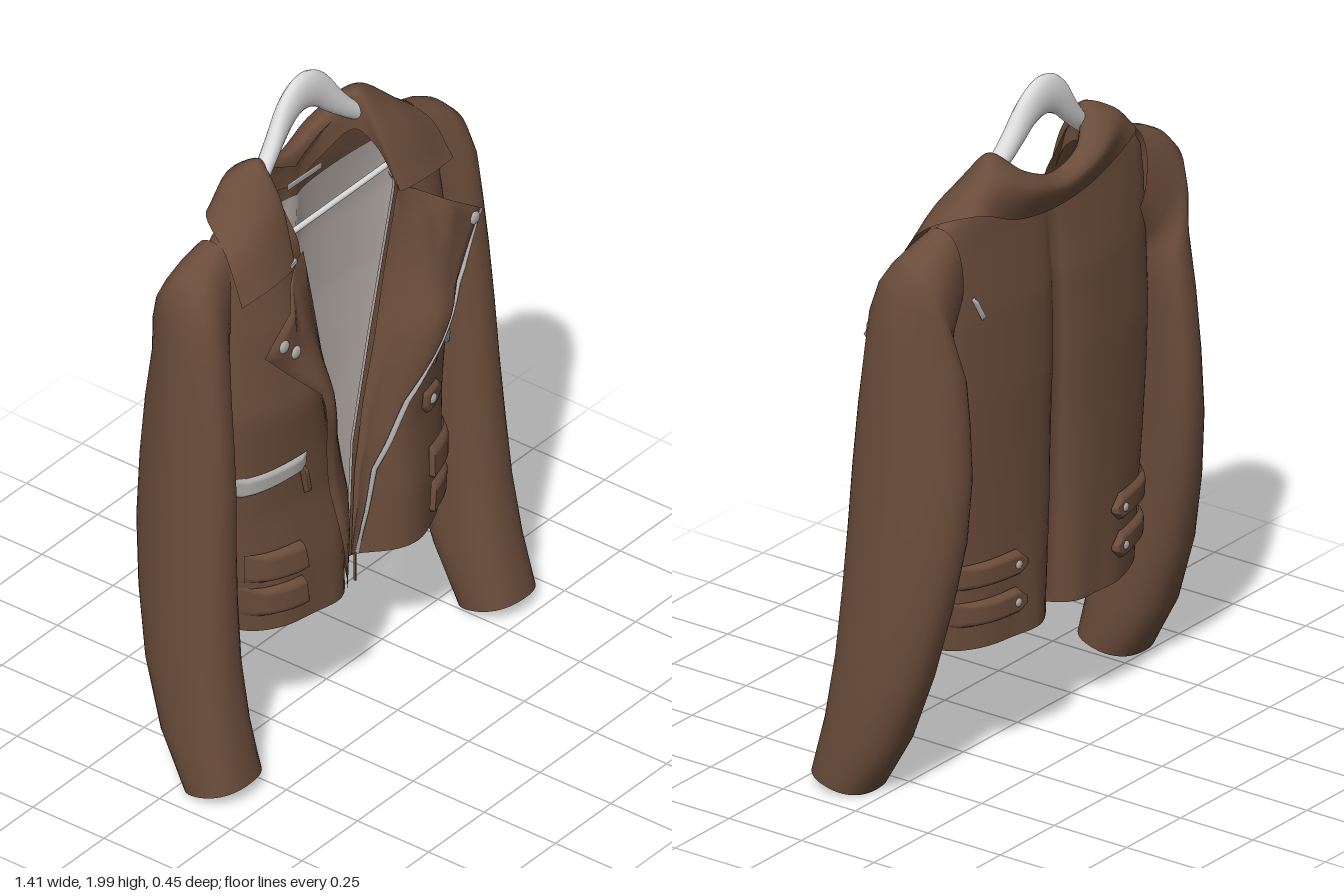
import * as THREE from 'three';
import { mergeVertices } from 'three/addons/utils/BufferGeometryUtils.js';

const mat = (name, color) => {
  const m = new THREE.MeshStandardMaterial({ color, side: THREE.DoubleSide });
  m.name = name;
  return m;
};
const V = (x, y, z) => new THREE.Vector3(x, y, z);
const clamp01 = (v) => THREE.MathUtils.clamp(v, 0, 1);

// Piecewise linear lookup in rows [key, value, value...]
function table(rows, y, k = 1) {
  let i = 0;
  while (i < rows.length - 2 && y > rows[i + 1][0]) i++;
  const a = rows[i], b = rows[i + 1];
  return a[k] + (b[k] - a[k]) * clamp01((y - a[0]) / (b[0] - a[0]));
}

// Surface through a grid of points
function surface(rows) {
  const n = rows[0].length, index = [];
  for (let i = 0; i < rows.length - 1; i++)
    for (let j = 0; j < n - 1; j++) {
      const a = i * n + j, b = a + n;
      index.push(a, a + 1, b, b, a + 1, b + 1);
    }
  let g = new THREE.BufferGeometry().setFromPoints(rows.flat());
  g.setIndex(index);
  g = mergeVertices(g, 1e-5);
  g.computeVertexNormals();
  return g;
}

// Body levels: y, half width, side z, front z, back z
const BODY = [
  [0.4, 0.435, -0.02, 0.16, -0.18], [0.6, 0.455, -0.02, 0.158, -0.178], [0.8, 0.48, -0.025, 0.137, -0.175],
  [0.97, 0.495, -0.03, 0.145, -0.172], [1.15, 0.505, -0.03, 0.165, -0.172], [1.4, 0.5, -0.03, 0.122, -0.16],
  [1.53, 0.5, -0.035, 0.08, -0.14], [1.62, 0.49, -0.04, 0.04, -0.125], [1.68, 0.44, -0.045, 0.015, -0.12],
  [1.74, 0.32, -0.05, -0.005, -0.11], [1.79, 0.23, -0.05, -0.03, -0.09],
];
// Front opening edges
const EDGE_R = [[0.41, 0.025], [0.72, 0.02], [1.08, -0.07], [1.55, -0.175], [1.8, -0.22]];
const EDGE_L = [[0.41, 0.04], [0.79, 0.06], [1.13, 0.14], [1.55, 0.25], [1.8, 0.22]];

function bulge(x, y, k) {
  const w = table(BODY, y, 1), c = table(BODY, y, 2), q = Math.min(1, Math.abs(x) / w);
  const ripple = 0.008 * Math.sin(x * 32) * clamp01((0.75 - y) / 0.3) * (1 - q);
  return c + (table(BODY, y, k) - c) * (1 - q ** 2.6) ** (1 / 2.6) + ripple;
}
function edgeGap(x, y) {
  const r = table(EDGE_R, y), l = table(EDGE_L, y);
  return Math.max(0, x > (r + l) / 2 ? x - l : r - x);
}
function frontZ(x, y) {
  const z = bulge(x, y, 3);
  return z + (Math.min(0.045, z) - z) * Math.exp(-((edgeGap(x, y) / 0.09) ** 2));
}
// The back folds inward along its centre seam, deepest at the hem
const SEAM = [[0.4, 0.1], [1, 0.06], [1.5, 0.03], [1.65, 0.01]];
const backZ = (x, y) => bulge(x, y, 4) + table(SEAM, y) * Math.exp(-Math.abs(x) / 0.05);
function lapelZ(x, y) {
  const gap = edgeGap(x, y), puff = 0.028 * Math.exp(-(((y - 1.1) / 0.17) ** 2));
  return Math.max(frontZ(x, y), 0.115 * Math.min(1, gap * 6)) + 0.006 + puff * Math.min(1, gap * 8);
}

// Padded plate lying on a surface, between two matched polylines of [x, y]
function patch(A, B, zAt, lift = 0.012, dir = 1, nu = 12, per = 8) {
  const rows = [], N = (A.length - 1) * per;
  for (let i = 0; i <= N; i++) {
    const s = Math.min(A.length - 2, Math.floor(i / per)), t = i / per - s, row = [];
    const at = (P, k) => P[s][k] + (P[s + 1][k] - P[s][k]) * t;
    for (let j = 0; j <= nu; j++) {
      const u = j / nu;
      const x = at(A, 0) * (1 - u) + at(B, 0) * u, y = at(A, 1) * (1 - u) + at(B, 1) * u;
      const edge = Math.min(1, 8 * Math.min(u, 1 - u, i / N, 1 - i / N));
      row.push(V(x, y, zAt(x, y) + dir * lift * (0.25 + 0.75 * edge)));
    }
    rows.push(row);
  }
  return surface(rows);
}

export function createModel() {
  const group = new THREE.Group();
  const leather = mat('brown leather', 0x6a4c3a), lining = mat('grey lining', 0xb9b0ab);
  const metal = mat('zip metal', 0xaaa8a6), white = mat('hanger white', 0xdedede);
  const add = (name, geo, m) => {
    const mesh = new THREE.Mesh(geo, m);
    mesh.name = name;
    group.add(mesh);
    return mesh;
  };
  const levels = (low, top) => Array.from({ length: 49 }, (_, i) => low + ((top - low) * i) / 48);

  // Body shell and its lining; the back hangs a little lower than the fronts
  function back(top, inset) {
    return surface(levels(0.402, top).map((y) => Array.from({ length: 65 }, (_, j) => {
      const x = (table(BODY, y) - inset) * Math.sin((j / 64 - 0.5) * Math.PI);
      const yy = Math.min(y, 1.68 + Math.abs(x) * 0.5);
      return V(x, yy, backZ(x, yy) + inset);
    })));
  }
  function front(side, top, inset) {
    return surface(levels(0.42, top).map((y) => Array.from({ length: 33 }, (_, j) => {
      const e = table(side > 0 ? EDGE_L : EDGE_R, y);
      const x = e + (side * (table(BODY, y) - inset) - e) * Math.sin((j / 64) * Math.PI);
      return V(x, y, frontZ(x, y) - inset);
    })));
  }
  add('backPanel', back(1.79, 0), leather);
  add('backLining', back(1.59, 0.008), lining);
  for (const s of [1, -1]) {
    add('frontPanel', front(s, 1.79, 0), leather);
    add('frontLining', front(s, 1.58, 0.008), lining);
  }

  // Sleeves: inner x, inner y, outer x, outer y, front z, back z, tilt
  const SLEEVE = [
    [0.41, 1.42, 0.44, 1.685, 0.01, -0.13, 0], [0.44, 1.38, 0.51, 1.66, 0.03, -0.145, 0],
    [0.46, 1.35, 0.565, 1.63, 0.05, -0.155, 0], [0.475, 1.32, 0.603, 1.59, 0.068, -0.165, 0],
    [0.485, 1.29, 0.627, 1.51, 0.082, -0.178, 0], [0.49, 1.22, 0.64, 1.38, 0.092, -0.193, 0],
    [0.495, 1.12, 0.652, 1.2, 0.107, -0.212, 0], [0.497, 0.98, 0.665, 1, 0.12, -0.224, 0],
    [0.497, 0.8, 0.677, 0.8, 0.13, -0.215, 0.02], [0.497, 0.6, 0.688, 0.6, 0.143, -0.18, 0.06],
    [0.493, 0.4, 0.697, 0.4, 0.16, -0.13, 0.12], [0.486, 0.2, 0.704, 0.2, 0.19, -0.055, 0.2],
    [0.482, 0.04, 0.706, 0.035, 0.23, 0.04, 0.25], [0.492, 0.055, 0.698, 0.05, 0.22, 0.05, 0.25],
    [0.5, 0.15, 0.69, 0.15, 0.19, -0.02, 0.22],
  ];
  const soft = (v) => Math.sign(v) * Math.abs(v) ** 0.85;
  for (const s of [1, -1]) {
    const rows = SLEEVE.map(([xi, yi, xo, yo, zf, zb, tilt]) => Array.from({ length: 37 }, (_, j) => {
      const a = ((j % 36) / 36) * Math.PI * 2, c = soft(Math.cos(a)), d = soft(Math.sin(a));
      const dz = ((zf - zb) / 2) * d, u = (1 + c) / 2;
      // the rear of the arm leans in behind the body
      const lean = 0.055 * clamp01((yo - 0.3) / 0.6) * clamp01((1.6 - yo) / 0.2) * Math.max(0, -d);
      const swing = s < 0 ? 0.035 * Math.max(0, 1 - yo) : 0;
      return V(s * (xi + (xo - xi) * u - lean), yi + (yo - yi) * u + dz * tilt, (zf + zb) / 2 + dz - swing);
    }));
    add(s > 0 ? 'leftSleeve' : 'rightSleeve', surface(rows), leather);
  }

  // Collar: stand, fold and falling leaf swept round the neck
  const STATIONS = [
    [V(0, 1.62, -0.115), V(0, 1.72, -0.125), V(0, 1.695, -0.175), V(0, 1.62, -0.145)],
    [V(0.12, 1.66, -0.105), V(0.13, 1.765, -0.12), V(0.16, 1.74, -0.18), V(0.19, 1.645, -0.145)],
    [V(0.2, 1.72, -0.06), V(0.215, 1.835, -0.06), V(0.3, 1.8, -0.115), V(0.37, 1.715, -0.135)],
    [V(0.22, 1.68, 0), V(0.22, 1.74, 0.01), V(0.33, 1.72, 0.015), V(0.45, 1.66, 0)],
    [V(0.24, 1.55, 0.065), V(0.235, 1.55, 0.075), V(0.34, 1.55, 0.092), V(0.475, 1.535, 0.075)],
  ];
  const round = [...STATIONS.slice(1).reverse().map((r) => r.map((p) => V(-p.x, p.y, p.z))), ...STATIONS];
  const strands = [0, 1, 2, 3].map((k) => new THREE.CatmullRomCurve3(round.map((r) => r[k])));
  add('collar', surface(Array.from({ length: 65 }, (_, i) =>
    new THREE.CatmullRomCurve3(strands.map((c) => c.getPoint(i / 64))).getPoints(15))), leather);

  // Lapels folded open
  add('rightLapel', patch([[-0.175, 1.56], [-0.13, 1.36], [-0.09, 1.17], [-0.03, 0.9], [0.025, 0.43]],
    [[-0.21, 1.55], [-0.44, 1.37], [-0.25, 1.17], [-0.19, 0.9], [-0.1, 0.43]], lapelZ, 0.018, 1, 20), leather);
  const zipLine = [[0.29, 1.53], [0.53, 1.36], [0.32, 1.09], [0.19, 0.9], [0.1, 0.7], [0.055, 0.43]];
  add('leftLapel', patch([[0.25, 1.55], [0.2, 1.36], [0.14, 1.1], [0.088, 0.9], [0.054, 0.7], [0.04, 0.43]],
    zipLine, lapelZ, 0.018, 1, 20), leather);

  // Zips and pulls
  const zip = zipLine.slice(1);
  add('frontZip', patch(zip, zip.map(([x, y]) => [x + 0.011, y - 0.008]), lapelZ, 0.012, 1, 4), metal);
  add('waistZip', patch([[-0.478, 0.948], [-0.26, 0.972]], [[-0.488, 0.882], [-0.262, 0.918]], frontZ, 0.016), metal);
  add('chestZip', patch([[0.33, 1.055], [0.425, 0.945]], [[0.352, 1.115], [0.475, 0.935]], frontZ, 0.016), metal);
  add('notchTag', patch([[-0.275, 1.57], [-0.225, 1.572]], [[-0.265, 1.555], [-0.225, 1.56]], frontZ, 0.03), metal);
  add('waistPull', patch([[-0.29, 0.93], [-0.265, 0.83]], [[-0.27, 0.93], [-0.248, 0.83]], frontZ, 0.022), leather);
  add('chestPull', patch([[0.315, 1.09], [0.3, 0.95]], [[0.333, 1.09], [0.31, 0.95]], frontZ, 0.022), leather);
  add('hemPull', new THREE.BoxGeometry(0.006, 0.09, 0.006), leather).position.set(0.065, 0.375, 0.05);

  // Small pocket flap
  add('pocketFlap', patch([[0.27, 0.88], [0.265, 0.83], [0.29, 0.8]], [[0.345, 0.885], [0.385, 0.845], [0.335, 0.81]],
    frontZ, 0.018), leather);

  // Snaps
  function stud(x, y, z, r) {
    const m = add('snap', new THREE.SphereGeometry(r, 16, 10), metal);
    m.position.set(x, y, z);
    m.scale.z = 0.5;
  }
  for (const [x, y] of [[-0.37, 1.378], [-0.32, 1.335], [0.485, 1.355]]) stud(x, y, lapelZ(x, y) + 0.018, 0.02);
  stud(0.305, 0.845, frontZ(0.305, 0.845) + 0.018, 0.016);

  // Waist straps, front and back
  for (const s of [1, -1])
    for (const y of [0.475, 0.59]) {
      add('frontStrap', patch([[s * 0.28, y + 0.02], [s * 0.29, y + 0.1], [s * 0.445, y + 0.095]],
        [[s * 0.28, y + 0.015], [s * 0.29, y], [s * 0.44, y]], frontZ, 0.026), leather);
      add('backStrap', patch([[s * 0.2, y + 0.045], [s * 0.235, y + 0.08], [s * 0.445, y + 0.075]],
        [[s * 0.2, y + 0.035], [s * 0.235, y], [s * 0.44, y]], backZ, 0.026, -1), leather);
      stud(s * 0.245, y + 0.04, backZ(s * 0.245, y + 0.04) - 0.026, 0.013);
    }

  // Neck label and small tab on the back
  add('neckLabel', patch([[-0.055, 1.655], [0.1, 1.65]], [[-0.055, 1.635], [0.1, 1.63]],
    () => -0.095, 0.004), metal);
  add('backTab', patch([[0.37, 1.47], [0.34, 1.4]], [[0.382, 1.465], [0.352, 1.395]], backZ, 0.016, -1, 4), metal);

  // Hanger: x, top y, bottom y, z
  const ARM = [[0, 2, 1.88, -0.087], [0.05, 1.988, 1.865, -0.086], [0.1, 1.95, 1.825, -0.083], [0.15, 1.88, 1.785, -0.077],
    [0.2, 1.82, 1.75, -0.07], [0.28, 1.75, 1.695, -0.06], [0.36, 1.69, 1.645, -0.05], [0.41, 1.655, 1.625, -0.045]];
  const arms = [...ARM.slice(1).reverse().map(([x, ...r]) => [-x, ...r]), ...ARM];
  const spine = [1, 2, 3].map((k) => new THREE.CatmullRomCurve3(arms.map((a) => V(a[0], a[k], 0))));
  add('hanger', surface(Array.from({ length: 57 }, (_, i) => {
    const [t, b, z] = spine.map((c) => c.getPoint(i / 56));
    return Array.from({ length: 17 }, (_, j) => {
      const a = ((j % 16) / 16) * Math.PI * 2;
      return V(t.x, (t.y + b.y) / 2 + ((t.y - b.y) / 2) * Math.sin(a), z.y + 0.026 * Math.cos(a));
    });
  })), white);
  const bar = add('hangerBar', new THREE.CylinderGeometry(0.009, 0.009, 0.8, 12), white);
  bar.rotation.z = Math.PI / 2;
  bar.position.set(0, 1.567, -0.02);
  return group;
}
